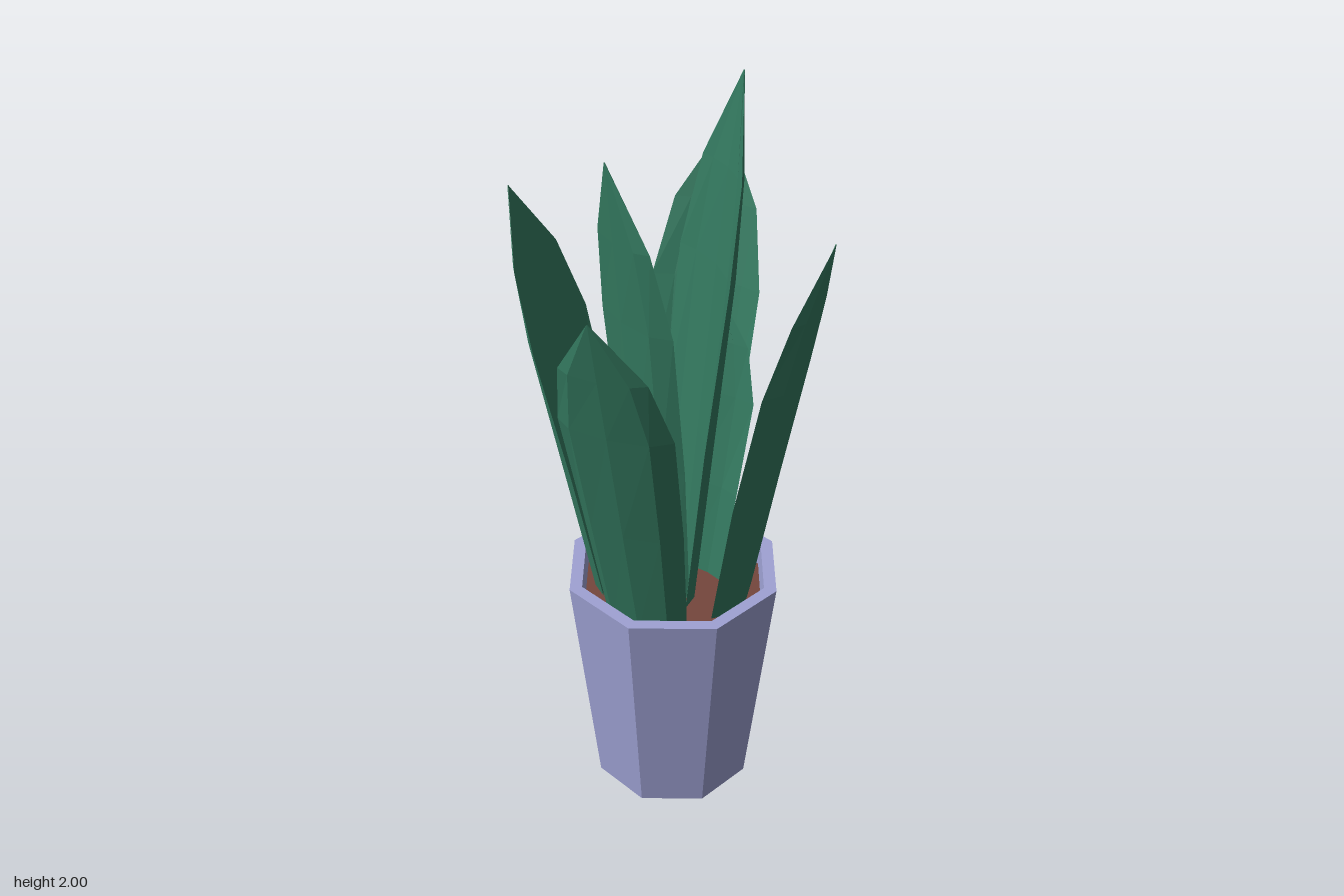
import * as THREE from 'three';

const potPaint = new THREE.MeshStandardMaterial({ color: 0x9fa2d4, flatShading: true });
potPaint.name = 'lavender';
const soilPaint = new THREE.MeshStandardMaterial({ color: 0x75463d, flatShading: true });
soilPaint.name = 'soil brown';
const leafPaint = new THREE.MeshStandardMaterial({ color: 0x347a60, flatShading: true });
leafPaint.name = 'leaf green';

const SOIL_Y = 0.6;

// leaf rows: fraction of length, half width, inward curl of the edges, thickness
const ROWS = [
  [0, 0.115, 0.055, 0.02],
  [0.35, 0.137, 0.06, 0.02],
  [0.67, 0.15, 0.05, 0.018],
  [0.84, 0.112, 0.03, 0.014],
  [1, 0.001, 0, 0.002],
];
// cross-section: side position, share of curl
const SECTION = [[-1, 1], [-0.68, 0.25], [0, 0], [0.68, 0.25], [1, 1]];

// one cupped blade running from base to tip, its outer side turned to yaw
function leaf(name, base, tip, yaw) {
  const start = new THREE.Vector3(base[0], SOIL_Y - 0.02, base[1]);
  const end = new THREE.Vector3(...tip);
  const up = new THREE.Vector3(0, 1, 0);
  const positions = [];
  const index = [];
  const n = SECTION.length * 2 - 2;
  for (const [f, w, curl, thick] of ROWS) {
    const centre = start.clone().lerp(end, f);
    const ring = SECTION.map(([u, c]) => [u * w, -c * curl]);
    // the inner side returns from the right edge to the left edge
    for (let i = SECTION.length - 2; i > 0; i--) {
      ring.push([SECTION[i][0] * w * 0.92, -SECTION[i][1] * curl - thick]);
    }
    for (const [x, z] of ring) {
      const p = new THREE.Vector3(x, 0, z).applyAxisAngle(up, yaw).add(centre);
      positions.push(p.x, p.y, p.z);
    }
  }
  for (let r = 0; r < ROWS.length - 1; r++) {
    for (let i = 0; i < n; i++) {
      const a = r * n + i;
      const b = r * n + ((i + 1) % n);
      index.push(a, b, b + n, a, b + n, a + n);
    }
  }
  const geometry = new THREE.BufferGeometry();
  geometry.setAttribute('position', new THREE.Float32BufferAttribute(positions, 3));
  geometry.setIndex(index);
  geometry.computeVertexNormals();
  const mesh = new THREE.Mesh(geometry, leafPaint);
  mesh.name = name;
  return mesh;
}

export function createModel() {
  const model = new THREE.Group();
  model.name = 'pottedPlant';

  // eight-sided tapered pot with a thin rim
  const profile = [[0, 0], [0.222, 0], [0.295, 0.665], [0.26, 0.665], [0.252, 0.57]];
  const pot = new THREE.Mesh(
    new THREE.LatheGeometry(profile.map(([x, y]) => new THREE.Vector2(x, y)), 8),
    potPaint
  );
  pot.name = 'pot';
  pot.position.set(0.023, 0, -0.015);
  model.add(pot);

  // soil disc
  const soil = new THREE.Mesh(new THREE.CircleGeometry(0.255, 8), soilPaint);
  soil.name = 'soil';
  soil.rotation.x = -Math.PI / 2;
  soil.position.set(0.023, SOIL_Y, -0.015);
  model.add(soil);

  // four outer leaves, then three inner ones
  const leaves = new THREE.Group();
  leaves.name = 'leaves';
  const PI = Math.PI;
  leaves.add(
    leaf('frontLeaf', [0.008, 0.183], [0.008, 1.6, 0.435], 0),
    leaf('backLeaf', [-0.01, -0.18], [-0.01, 1.76, -0.435], PI),
    leaf('leftLeaf', [0.225, -0.033], [0.412, 1.665, -0.033], PI / 2),
    leaf('rightLeaf', [-0.18, -0.01], [-0.415, 1.685, -0.01], -PI / 2),
    leaf('tallInnerLeaf', [0.05, -0.05], [0.14, 2.0, -0.14], PI * 0.75),
    leaf('middleInnerLeaf', [-0.04, 0.005], [-0.1, 1.83, 0.105], -0.57),
    leaf('shortInnerLeaf', [0.015, -0.135], [0.055, 1.41, -0.215], PI)
  );
  model.add(leaves);
  return model;
}
